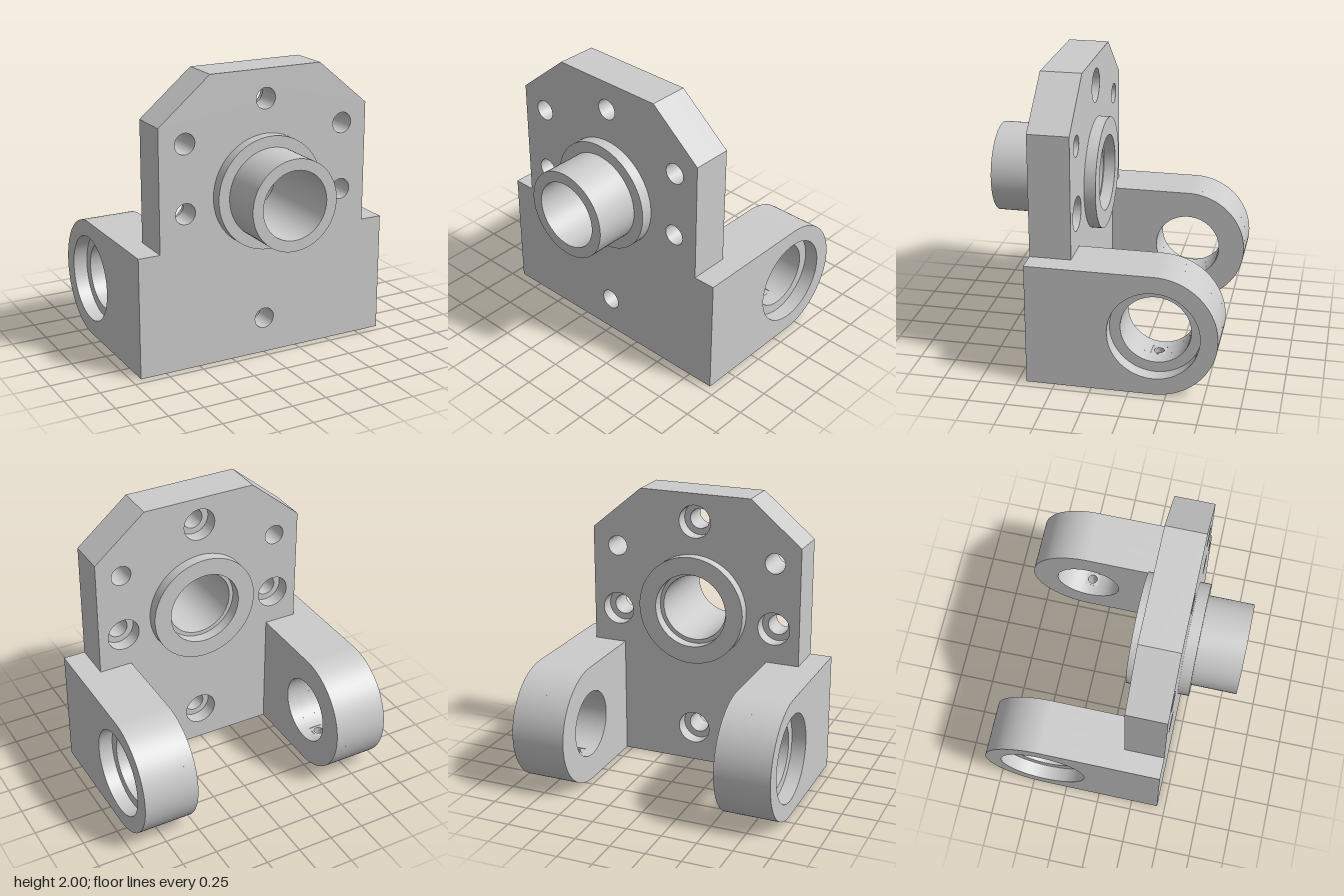
import * as THREE from 'three';
import { toCreasedNormals } from 'three/addons/utils/BufferGeometryUtils.js';

const material = new THREE.MeshStandardMaterial({ color: 0xcccccc });

function addMesh(parent, name, geometry) {
  const mesh = new THREE.Mesh(toCreasedNormals(geometry, 0.5), material);
  mesh.name = name;
  parent.add(mesh);
  return mesh;
}

function extrude(shape, depth) {
  return new THREE.ExtrudeGeometry(shape, { depth, bevelEnabled: false, curveSegments: 40 });
}

function addHole(shape, x, y, r) {
  shape.holes.push(new THREE.Path().absarc(x, y, r, 0, Math.PI * 2, true));
}

// Plate levels along z
const BACK = 0.163, FRONT = 0.443, BORE_DEPTH = 0.1;
const HUB_Y = 1.174;

// Bolt holes: x, y, counterbored from the back
const bolts = [
  [0, 1.8, true], [0, 0.253, true],
  [0.593, 1.096, true], [-0.593, 1.096, true],
  [0.593, 1.566, false], [-0.593, 1.566, false],
];

function plateShape(counterbored) {
  const half = [[0.935, 0], [0.935, 0.845], [0.78, 0.845], [0.78, 1.69], [0.41, 2]];
  const mirrored = half.map(([x, y]) => [-x, y]).reverse();
  const shape = new THREE.Shape([...half, ...mirrored].map(([x, y]) => new THREE.Vector2(x, y)));
  addHole(shape, 0, HUB_Y, 0.385);
  for (const [x, y, bored] of bolts) addHole(shape, x, y, counterbored && bored ? 0.117 : 0.072);
  return shape;
}

// Arm side profile: horizontal axis is -z
const EYE_U = 0.41, EYE_R = 0.4225, EYE_BORE = 0.236, EYE_RECESS = 0.307, SLOT = 0.05;

function armShape(boreRadius) {
  const s = new THREE.Shape();
  s.moveTo(-BACK, 0);
  s.lineTo(EYE_U, 0);
  s.absarc(EYE_U, EYE_R, EYE_R, -Math.PI / 2, Math.PI / 2, false);
  s.lineTo(-BACK, EYE_R * 2);
  s.closePath();
  addHole(s, EYE_U, EYE_R, boreRadius);
  return s;
}

// Same profile with a gap in the lower wall, which the drilled insert fills
function slottedArmShape() {
  const outer = Math.asin(SLOT / EYE_R), inner = Math.asin(SLOT / EYE_BORE);
  const down = -Math.PI / 2;
  const s = new THREE.Shape();
  s.moveTo(-BACK, 0);
  s.lineTo(EYE_U - SLOT, 0);
  s.absarc(EYE_U, EYE_R, EYE_BORE, down - inner, down + inner, true);
  s.absarc(EYE_U, EYE_R, EYE_R, down + outer, Math.PI / 2, false);
  s.lineTo(-BACK, EYE_R * 2);
  s.closePath();
  return s;
}

function createArm(side) {
  const arm = new THREE.Group();
  arm.name = side > 0 ? 'leftArm' : 'rightArm';
  const X0 = 0.545, X1 = 0.935, MID = 0.675, RECESS_X = X1 - 0.1;
  const layers = [
    ['armInnerSection', X0, MID - SLOT, armShape(EYE_BORE)],
    ['armDrilledSection', MID - SLOT, MID + SLOT, slottedArmShape()],
    ['armOuterSection', MID + SLOT, RECESS_X, armShape(EYE_BORE)],
    ['armBearingRecess', RECESS_X, X1, armShape(EYE_RECESS)],
  ];
  for (const [name, a, b, shape] of layers) {
    const geometry = extrude(shape, b - a).rotateY(Math.PI / 2);
    geometry.translate(side > 0 ? a : -b, 0, 0);
    addMesh(arm, name, geometry);
  }
  // Lower wall insert with a vertical set screw hole
  const square = new THREE.Shape([[-1, -1], [1, -1], [1, 1], [-1, 1]]
    .map(([x, y]) => new THREE.Vector2(x * SLOT, y * SLOT)));
  addHole(square, 0, 0, 0.034);
  const insert = extrude(square, EYE_R - EYE_BORE + 0.002).rotateX(-Math.PI / 2);
  insert.translate(side * MID, 0, -EYE_U);
  addMesh(arm, 'setScrewHole', insert);
  return arm;
}

export function createModel() {
  const model = new THREE.Group();
  model.name = 'bearingBracket';

  // Plate in two layers, so the bolt holes step on the back
  const back = extrude(plateShape(true), BORE_DEPTH).translate(0, 0, BACK);
  const front = extrude(plateShape(false), FRONT - BACK - BORE_DEPTH).translate(0, 0, BACK + BORE_DEPTH);
  addMesh(model, 'plateBack', back);
  addMesh(model, 'plateFront', front);

  // Flanged bushing through the plate: radius, z
  const profile = [
    [0.265, 0.085], [0.39, 0.085], [0.39, 0.522], [0.312, 0.522], [0.312, 0.835],
    [0.236, 0.835], [0.236, 0.165], [0.265, 0.165], [0.265, 0.085],
  ].map(([r, z]) => new THREE.Vector2(r, z));
  const bushing = new THREE.LatheGeometry(profile, 80).rotateX(Math.PI / 2);
  bushing.translate(0, HUB_Y, 0);
  addMesh(model, 'flangedBushing', bushing);

  for (const side of [1, -1]) model.add(createArm(side));
  return model;
}
